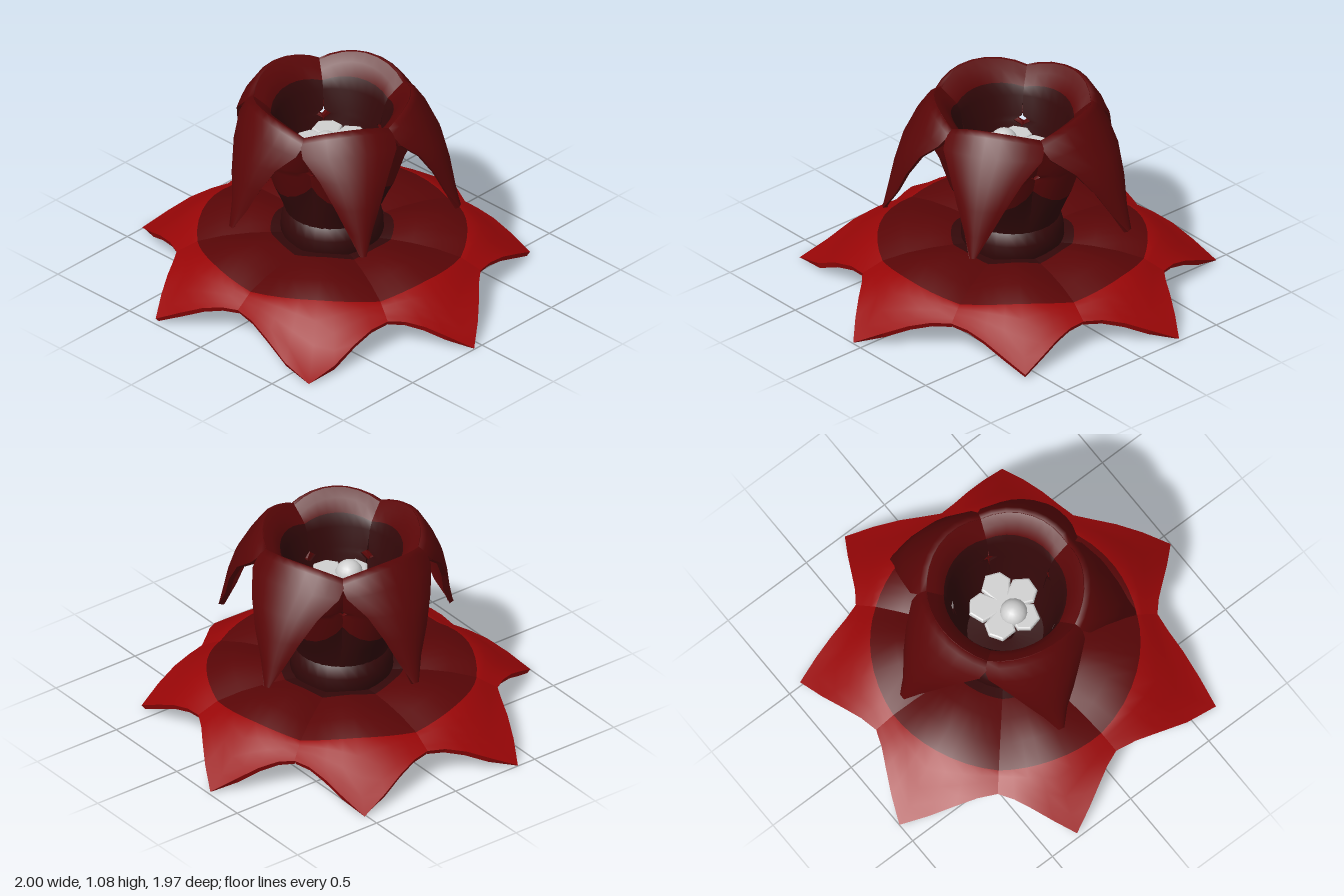
import * as THREE from 'three';

const mat = (name, color) => {
  const m = new THREE.MeshStandardMaterial({ color });
  m.name = name;
  return m;
};
const RAD = Math.PI / 180;
const { lerp, smoothstep } = THREE.MathUtils;

// Piecewise-linear lookup in a list of [key, value] pairs
function sample(table, k) {
  for (let i = 1; i < table.length; i++) {
    const [a, va] = table[i - 1], [b, vb] = table[i];
    if (k <= b) return lerp(va, vb, Math.max(0, (k - a) / (b - a)));
  }
  return table[table.length - 1][1];
}

// Angle across a petal: u = 0 on its middle, -1 and 1 on its borders (degrees in, radians out)
const across = (lo, mid, hi, u) => RAD * (u < 0 ? lerp(mid, lo, -u) : lerp(mid, hi, u));
const polar = (r, a, y) => [r * Math.cos(a), y, r * Math.sin(a)];

// Thick sheet: point(u, row) with u in -1..1; colourOf(row) picks the material
function shell(name, point, nu, rows, thickness, colourOf, materials) {
  const w = nu + 1, grid = [], index = [];
  for (let j = 0; j < rows; j++)
    for (let i = 0; i < w; i++) grid.push(...point(i / nu * 2 - 1, j));
  for (let j = 0; j < rows - 1; j++)
    for (let i = 0; i < nu; i++) {
      const a = j * w + i, c = a + w;
      index.push(a, a + 1, c, a + 1, c + 1, c);
    }
  const face = new THREE.BufferGeometry();
  face.setAttribute('position', new THREE.Float32BufferAttribute(grid, 3));
  face.setIndex(index);
  face.computeVertexNormals();
  const n = face.attributes.normal.array, N = w * rows;
  const back = grid.map((p, k) => p - n[k] * thickness);
  for (let k = 1; k < back.length; k += 3) back[k] = Math.max(0, back[k]);

  const pos = [...grid, ...back], buckets = materials.map(() => []);
  // Front and back faces
  for (let j = 0; j < rows - 1; j++) {
    const list = buckets[colourOf(j)];
    for (let k = j * nu * 6; k < (j + 1) * nu * 6; k += 3) {
      const [a, b, c] = index.slice(k, k + 3);
      list.push(a, b, c, N + a, N + c, N + b);
    }
  }
  // Rim with its own vertices, so the edge stays sharp
  const rim = (a, b, j) => {
    const s = pos.length / 3;
    for (const [src, k] of [[grid, a], [grid, b], [back, a], [back, b]])
      pos.push(...src.slice(k * 3, k * 3 + 3));
    buckets[colourOf(j)].push(s, s + 2, s + 1, s + 1, s + 2, s + 3);
  };
  for (let i = 0; i < nu; i++) {
    rim(i, i + 1, 0);
    rim((rows - 1) * w + i + 1, (rows - 1) * w + i, rows - 2);
  }
  for (let j = 0; j < rows - 1; j++) {
    rim((j + 1) * w, j * w, j);
    rim(j * w + nu, (j + 1) * w + nu, j);
  }
  const geo = new THREE.BufferGeometry();
  geo.setAttribute('position', new THREE.Float32BufferAttribute(pos, 3));
  const all = [];
  buckets.forEach((list, m) => {
    if (list.length) geo.addGroup(all.length, list.length, m);
    for (const k of list) all.push(k);
  });
  geo.setIndex(all);
  geo.computeVertexNormals();
  const mesh = new THREE.Mesh(geo, materials);
  mesh.name = name;
  return mesh;
}

export function createModel() {
  const dark = mat('darkest maroon', 0x330809);
  const maroon = mat('maroon', 0x5a0607);
  const red = mat('red', 0x9a0607);
  const white = mat('pale grey', 0xd0d0d0);
  for (const m of [dark, maroon, red]) m.side = THREE.DoubleSide;
  const petalMats = [dark, maroon, red];

  const model = new THREE.Group();
  model.name = 'flower';
  const flower = new THREE.Group();
  flower.name = 'flowerParts';
  flower.position.set(-0.03, 0, 0.02);
  model.add(flower);

  // Skirt of seven wide petals, coloured in rings: [tip angle, tip radius, angle of next notch]
  const skirt = [[2, 1.03, 25], [52, 1.09, 83], [107.3, 1.01, 131], [159, 1.04, 184],
    [211, 1.04, 235], [257, 1.035, 284], [307.3, 1.005, 334]];
  const ridge = [[0.15, 0.24], [0.31, 0.275], [0.46, 0.3], [0.6, 0.285], [0.74, 0.22], [0.88, 0.11], [1.03, 0.005]];
  const valley = [[0.15, 0.24], [0.31, 0.25], [0.5, 0.25], [0.68, 0.215], [0.8, 0.15]];
  const rings = [0.15, 0.31, 0.42, 0.55, 0.68];
  // Scalloped underside: [radius, height, rise at the borders]
  const under = [[0.01, 0.02, 0], [0.15, 0.02, 0.04], [0.31, 0.02, 0.07], [0.44, 0.03, 0.09], [0.57, 0.1, 0.07], [0.66, 0.17, 0.04]];
  skirt.forEach(([mid, tip, hi], k) => {
    const lo = k ? skirt[k - 1][2] : skirt[6][2] - 360;
    const point = (u, j) => {
      const t = Math.abs(u);
      const edge = lerp(0.785, tip, (1 - t) ** 1.5);
      const r = j < 5 ? rings[j] : lerp(0.68, edge, (j - 4) / 4);
      return polar(r, across(lo, mid, hi, u), lerp(sample(ridge, r), sample(valley, r), t ** 1.6));
    };
    flower.add(shell('skirtPetal', point, 8, 9, 0.03, j => (j < 1 ? 0 : j < 4 ? 1 : 2), petalMats));

    const low = (u, j) => {
      const [r, y, rise] = under[j];
      return polar(r * (1 - 0.06 * u * u), across(lo, mid, hi, u), y + rise * u * u);
    };
    flower.add(shell('undersidePetal', low, 8, under.length, 0.02, j => (j < 2 ? 0 : 1), petalMats));
  });

  // Round bulb carrying the cup
  const bulbProfile = [[0.23, 0.2], [0.26, 0.27], [0.258, 0.33], [0.24, 0.4], [0.2, 0.41], [0, 0.39]]
    .map(p => new THREE.Vector2(...p));
  const bulb = new THREE.Mesh(new THREE.LatheGeometry(bulbProfile, 30), dark);
  bulb.name = 'bulb';
  flower.add(bulb);

  // Five cup petals: rise, arch over and hang to a point
  // [radius, height, share of the width, inward fold at the borders, lift at the borders]
  const cup = [
    [0.2, 0.34, 1.03, 0, 0], [0.22, 0.42, 1.02, 0, 0], [0.26, 0.51, 1.01, 0.02, 0.03], [0.295, 0.58, 1, 0.03, 0.1],
    [0.35, 0.745, 0.98, 0.06, 0], [0.362, 0.77, 0.83, 0.06, 0], [0.375, 0.795, 0.98, 0.06, 0],
    [0.4, 0.9, 1.02, 0.05, 0], [0.4, 0.99, 1.04, 0.02, -0.03], [0.39, 1.045, 1.05, 0, -0.06],
    [0.4, 1.075, 1.05, 0, -0.06], [0.43, 1.055, 1.04, 0, -0.06], [0.485, 0.97, 0.93, 0.015, -0.03], [0.545, 0.85, 0.6, 0.03, 0],
    [0.585, 0.72, 0.36, 0.03, 0], [0.615, 0.59, 0.18, 0.03, 0], [0.64, 0.48, 0.04, 0, 0],
  ];
  // Steeper lining inside the cup, with small windows at the borders
  const lining = [
    [0.19, 0.4, 1, 0, 0], [0.235, 0.6, 1, 0, 0], [0.26, 0.745, 0.98, 0, 0], [0.265, 0.77, 0.76, 0, 0],
    [0.27, 0.795, 0.98, 0, 0], [0.29, 0.9, 1.01, 0, 0], [0.31, 0.97, 1.01, 0, -0.03],
    [0.35, 1.035, 1.01, 0, -0.06], [0.395, 1.07, 1.01, 0, -0.06],
  ];
  // [tip angle, tip radius]
  const tips = [[32, 0.66], [101, 0.62], [182, 0.645], [251, 0.68], [329, 0.66]];
  tips.forEach(([mid, reach], k) => {
    const lo = (mid + (k ? tips[k - 1][0] : tips[4][0] - 360)) / 2;
    const hi = (mid + (k < 4 ? tips[k + 1][0] : tips[0][0] + 360)) / 2;
    const layer = table => (u, j) => {
      const [r, y, share, fold, lift] = table[j];
      const out = r + (reach - 0.64) * smoothstep(r, 0.43, 0.64);
      return polar(out - fold * u * u, across(lo, mid, hi, u * share), y + lift * u * u);
    };
    flower.add(shell('cupPetal', layer(cup), 8, cup.length, 0.025, j => (j < 3 ? 0 : 1), petalMats));
    flower.add(shell('cupLining', layer(lining), 8, lining.length, 0.015, j => (j < 6 ? 0 : 1), petalMats));
  });

  // Stalk, five-lobed star and bead in the cup
  const stalk = new THREE.Mesh(new THREE.CylinderGeometry(0.025, 0.05, 0.38, 10), dark);
  stalk.name = 'stalk';
  stalk.position.y = 0.57;
  flower.add(stalk);
  const shape = new THREE.Shape();
  [[0, -0.02], [0.12, -0.08], [0.175, -0.045], [0.185, 0.03], [0.12, 0.08], [0, 0.02]]
    .forEach(([x, y], i) => (i ? shape.lineTo(x, y) : shape.moveTo(x, y)));
  const lobeGeo = new THREE.ExtrudeGeometry(shape, {
    depth: 0.015, bevelThickness: 0.012, bevelSize: 0.01, bevelOffset: -0.01, bevelSegments: 2,
  }).rotateX(-Math.PI / 2);
  for (let k = 0; k < 5; k++) {
    const lobe = new THREE.Mesh(lobeGeo, white);
    lobe.name = 'starLobe';
    lobe.position.y = 0.76;
    lobe.rotation.y = -(-3 + 72 * k) * RAD;
    flower.add(lobe);
  }
  const bead = new THREE.Mesh(new THREE.SphereGeometry(0.07, 16, 12), white);
  bead.name = 'bead';
  bead.position.set(0.01, 0.78, 0.055);
  flower.add(bead);

  return model;
}
